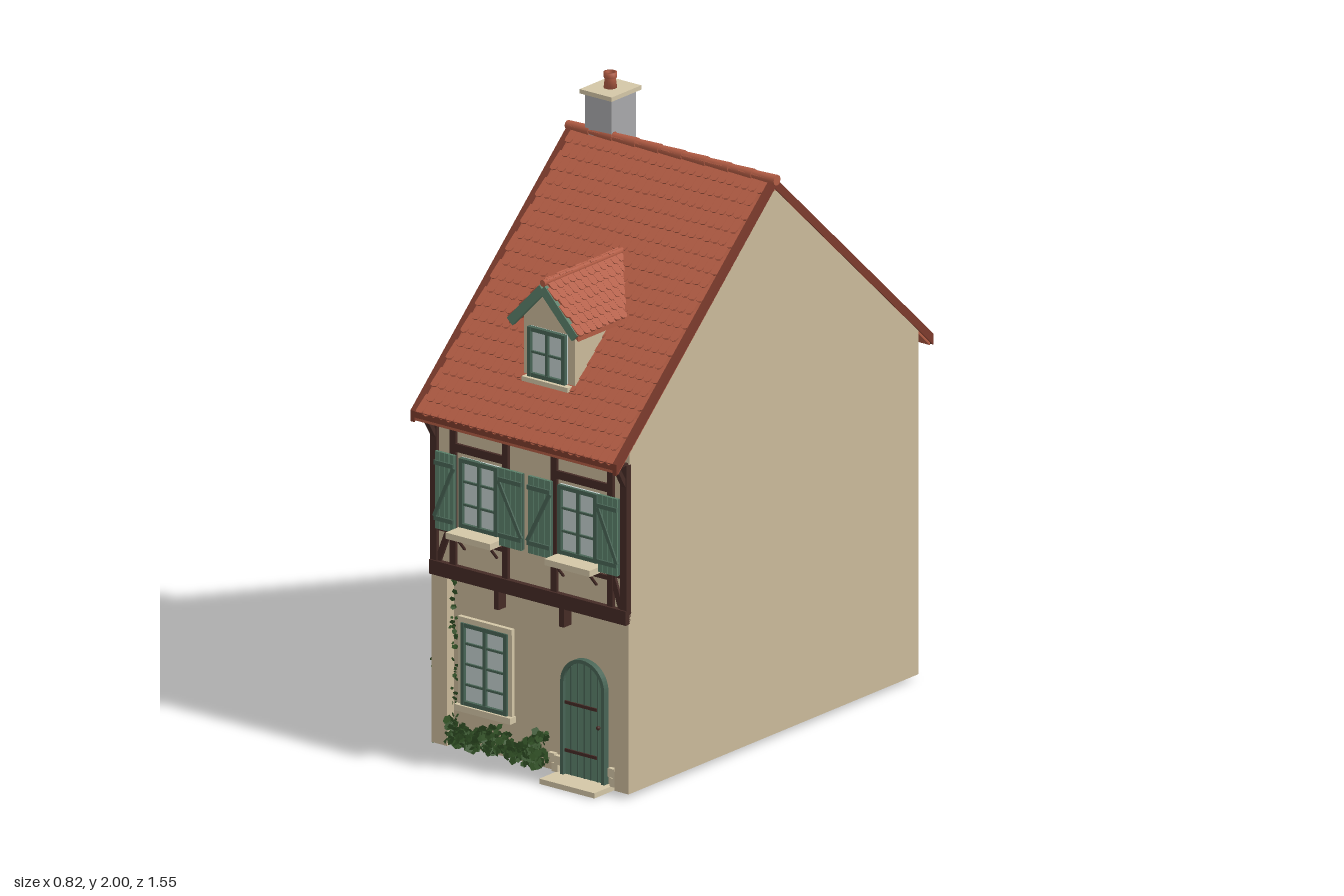
import * as THREE from 'three';
import { mergeGeometries } from 'three/addons/utils/BufferGeometryUtils.js';

const mat = (name, color, extra = {}) => {
  const m = new THREE.MeshStandardMaterial({ color, ...extra });
  m.name = name;
  return m;
};
const M = {
  wall: mat('plaster', 0xcab99a), trim: mat('stone trim', 0xd3c6a6),
  roof: mat('terracotta', 0xb25c44), verge: mat('dark terracotta', 0x7c3b2c),
  timber: mat('dark timber', 0x452b26), green: mat('shutter green', 0x5b806a),
  frame: mat('frame green', 0x486455), glass: mat('glass', 0xc3cfcd),
  leaf: mat('leaves', 0x345528, { side: THREE.DoubleSide }), grey: mat('chimney grey', 0xa8a8aa),
};

let seed = 7;
const rnd = () => (seed = (seed * 16807) % 2147483647) / 2147483647;

function add(parent, name, geometry, material, x = 0, y = 0, z = 0) {
  const mesh = new THREE.Mesh(geometry, material);
  mesh.name = name;
  mesh.position.set(x, y, z);
  parent.add(mesh);
  return mesh;
}
// box given by its limits
const block = (p, name, m, x0, x1, y0, y1, z0, z1) =>
  add(p, name, new THREE.BoxGeometry(x1 - x0, y1 - y0, z1 - z0), m, (x0 + x1) / 2, (y0 + y1) / 2, (z0 + z1) / 2);
// bar between two points in a front-facing plane
function bar(p, name, m, x0, y0, x1, y1, w, z, d) {
  const b = add(p, name, new THREE.BoxGeometry(Math.hypot(x1 - x0, y1 - y0), w, d), m, (x0 + x1) / 2, (y0 + y1) / 2, z);
  b.rotation.z = Math.atan2(y1 - y0, x1 - x0);
}
const poly = pts => new THREE.Shape(pts.map(p => new THREE.Vector2(...p)));
const extrude = (shape, depth) => new THREE.ExtrudeGeometry(shape, { depth, bevelEnabled: false, curveSegments: 12 });
// profile in (z, y), symmetric in z, extruded along x
const alongX = (pts, x0, x1) => extrude(poly(pts), x1 - x0).rotateY(Math.PI / 2).translate(x0, 0, 0);
const chevron = (run, top, low, t) => [[-run, low], [-run, low - t], [0, top - t], [run, low - t], [run, low], [0, top]];

// rows of round-ended tiles lying on a slope that falls towards local +z
function tiledSlope(p, name, width, run, rise, rows, cols, pos, turn) {
  const len = Math.hypot(run, rise), rh = len / rows, tw = width / cols, w = tw * 0.485, h = rh * 1.45;
  const s = new THREE.Shape();
  s.moveTo(-w, h); s.lineTo(-w, h * 0.22);
  s.quadraticCurveTo(-w, 0, 0, 0); s.quadraticCurveTo(w, 0, w, h * 0.22); s.lineTo(w, h);
  const tile = new THREE.ExtrudeGeometry(s, { depth: 0.006, bevelEnabled: false, curveSegments: 2 });
  tile.translate(0, -h, 0).rotateX(-0.09).translate(0, h, 0);
  const all = [];
  for (let r = 0; r < rows; r++) {
    const odd = r % 2;
    for (let c = 0; c < cols - odd; c++)
      all.push(tile.clone().translate(-width / 2 + (c + 0.5 + odd / 2) * tw, -len + r * rh - rnd() * 0.004, 0));
  }
  const g = new THREE.Group();
  g.name = name;
  g.position.set(...pos);
  g.rotation.y = turn;
  add(g, name + 'Tiles', mergeGeometries(all), M.roof).rotation.x = -Math.atan2(run, rise);
  p.add(g);
}

// glazed window with glazing bars, origin at its centre on the wall plane
function makeWindow(p, name, x0, x1, y0, y1, z, cols, rows) {
  const f = 0.013, w = x1 - x0, h = y1 - y0;
  const g = new THREE.Group();
  g.name = name;
  p.add(g);
  block(g, 'glass', M.glass, x0, x1, y0, y1, z - 0.01, z + 0.004);
  for (const x of [x0, x1 - f]) block(g, 'frameSide', M.frame, x, x + f, y0, y1, z, z + 0.016);
  for (const y of [y0, y1 - f]) block(g, 'frameRail', M.frame, x0, x1, y, y + f, z, z + 0.015);
  for (let i = 1; i < cols; i++) bar(g, 'mullion', M.frame, x0 + w * i / cols, y0, x0 + w * i / cols, y1, 0.011, z + 0.006, 0.014);
  for (let i = 1; i < rows; i++) bar(g, 'glazingBar', M.frame, x0, y0 + h * i / rows, x1, y0 + h * i / rows, 0.007, z + 0.005, 0.012);
}

function makeShutter(p, x0, x1, flip) {
  const y0 = 0.725, y1 = 0.975, z = 0.722, g = new THREE.Group(), n = 4, w = (x1 - x0) / n;
  g.name = 'shutter';
  p.add(g);
  for (let i = 0; i < n; i++) block(g, 'plank', M.green, x0 + i * w + 0.001, x0 + (i + 1) * w - 0.001, y0, y1, z, z + 0.01);
  block(g, 'backing', M.frame, x0, x1, y0 + 0.002, y1 - 0.002, z - 0.004, z + 0.006);
  for (const y of [y0 + 0.035, y1 - 0.035]) bar(g, 'batten', M.frame, x0, y, x1, y, 0.014, z + 0.012, 0.008);
  const [a, b] = flip ? [x1, x0] : [x0, x1];
  bar(g, 'diagonalBatten', M.frame, a, y0 + 0.04, b, y1 - 0.04, 0.012, z + 0.012, 0.007);
}

// scatter of small leaves; place() returns a position, yaw turns them to face outwards
function leaves(p, name, count, size, yaw, place) {
  const all = [];
  for (let i = 0; i < count; i++) {
    const r = size * (0.6 + rnd() * 0.7);
    all.push(new THREE.CircleGeometry(r, 5).rotateZ(rnd() * 6).rotateX((rnd() - 0.5) * 1.6)
      .rotateY(yaw + (rnd() - 0.5) * 1.6).translate(...place()));
  }
  add(p, name, mergeGeometries(all), M.leaf);
}

function archShape(cx, half, y0, spring) {
  const s = new THREE.Shape();
  s.moveTo(cx - half, y0); s.lineTo(cx + half, y0); s.lineTo(cx + half, spring);
  s.absarc(cx, spring, half, 0, Math.PI, false);
  s.closePath();
  return s;
}

export function createModel() {
  const house = new THREE.Group();
  house.name = 'townhouse';
  const L = -0.37, R = 0.4;

  // hollow body, recessed ground floor front, gable
  const plan = poly([[L, -0.675], [R, -0.675], [R, 0.705], [L, 0.705]]);
  plan.holes.push(poly([[-0.32, -0.24], [-0.32, 0.62], [0.335, 0.62], [0.335, -0.24]]));
  add(house, 'walls', extrude(plan, 1.08).rotateX(-Math.PI / 2), M.wall, 0, 0.02, 0);
  add(house, 'gable', alongX([[-0.705, 1.1], [0.705, 1.1], [0.705, 1.13], [0, 1.785], [-0.705, 1.13]], L, R), M.wall);
  block(house, 'upperFront', M.wall, L, R, 0.57, 1.1, 0.675, 0.705);
  block(house, 'leftPilaster', M.wall, 0.345, R, 0.02, 0.57, 0.675, 0.709);
  block(house, 'rightPilaster', M.wall, L, -0.31, 0.02, 0.57, 0.675, 0.709);

  // main roof
  add(house, 'roofSlab', alongX(chevron(0.76, 1.803, 1.094, 0.025), -0.395, 0.4), M.roof);
  for (const x of [-0.402, 0.388]) add(house, 'verge', alongX(chevron(0.772, 1.822, 1.104, 0.036), x, x + 0.016), M.verge);
  for (const turn of [0, Math.PI])
    tiledSlope(house, 'roofSlope', 0.776, 0.765, 0.713, 21, 26, [0, 1.804, 0], turn);
  for (let i = 0; i < 9; i++) {
    const c = add(house, 'ridgeTile', new THREE.CylinderGeometry(0.014, 0.017, 0.092, 10), M.roof, -0.362 + i * 0.091, 1.814, 0);
    c.rotation.z = Math.PI / 2;
  }
  block(house, 'fascia', M.verge, -0.395, 0.402, 1.083, 1.103, 0.757, 0.772);
  block(house, 'soffit', M.timber, -0.385, 0.395, 1.083, 1.09, 0.7, 0.76);

  // chimney
  block(house, 'chimney', M.grey, -0.33, -0.225, 1.7, 1.938, -0.105, 0.012);
  block(house, 'chimneyCap', M.trim, -0.34, -0.215, 1.936, 1.95, -0.12, 0.025);
  const pot = [[0, 0], [0.021, 0], [0.017, 0.03], [0.021, 0.034], [0.021, 0.05], [0.013, 0.05], [0.012, 0.01]];
  add(house, 'chimneyPot', new THREE.LatheGeometry(pot.map(q => new THREE.Vector2(...q)), 16), M.roof, -0.278, 1.95, -0.047);

  // dormer
  const dormer = new THREE.Group(), cx = 0.012;
  dormer.name = 'dormer';
  house.add(dormer);
  add(dormer, 'dormerWalls', extrude(poly([[cx - 0.1, 1.235], [cx + 0.1, 1.235], [cx + 0.1, 1.435], [cx, 1.54], [cx - 0.1, 1.435]]), 0.36), M.wall, 0, 0, 0.25);
  add(dormer, 'dormerRoof', extrude(poly(chevron(0.135, 1.566, 1.425, 0.016).map(([x, y]) => [x + cx, y])), 0.39), M.roof, 0, 0, 0.25);
  for (const s of [1, -1]) {
    tiledSlope(dormer, 'dormerSlope', 0.39, 0.136, 0.143, 6, 13, [cx, 1.568, 0.45], s * Math.PI / 2);
    bar(dormer, 'dormerBargeboard', M.green, cx, 1.553, cx + s * 0.127, 1.42, 0.03, 0.641, 0.014);
  }
  const dr = add(dormer, 'dormerRidge', new THREE.CylinderGeometry(0.011, 0.011, 0.39, 10), M.roof, cx, 1.57, 0.45);
  dr.rotation.x = Math.PI / 2;
  makeWindow(dormer, 'dormerWindow', cx - 0.075, cx + 0.072, 1.25, 1.41, 0.612, 2, 2);
  block(dormer, 'dormerSill', M.trim, cx - 0.09, cx + 0.09, 1.233, 1.248, 0.6, 0.635);
  block(dormer, 'dormerFlashing', M.roof, cx - 0.115, cx + 0.115, 1.222, 1.233, 0.59, 0.628);

  // timber framing
  const T = (...a) => bar(house, 'timberBeam', M.timber, ...a);
  T(L, 0.592, R, 0.592, 0.046, 0.708, 0.03);
  T(L, 1.07, R, 1.07, 0.03, 0.708, 0.024);
  for (const x of [-0.357, 0.387]) T(x, 0.6, x, 1.08, 0.026, 0.707, 0.022);
  for (const x of [-0.283, -0.078, 0.112, 0.332]) T(x, 0.6, x, 1.08, 0.022, 0.706, 0.02);
  for (const [a, b] of [[-0.283, -0.078], [0.112, 0.332]]) {
    T(a, 0.995, b, 0.995, 0.026, 0.706, 0.018);
    T(a, 0.705, b, 0.705, 0.014, 0.706, 0.016);
  }
  T(L, 0.72, -0.283, 0.72, 0.014, 0.706, 0.016);
  T(0.332, 0.72, R, 0.72, 0.014, 0.706, 0.016);
  T(-0.345, 0.61, -0.3, 0.725, 0.02, 0.706, 0.016);
  T(0.375, 0.61, 0.335, 0.725, 0.02, 0.706, 0.016);
  for (const x of [-0.115, 0.14]) block(house, 'corbel', M.timber, x - 0.009, x + 0.009, 0.505, 0.572, 0.67, 0.712);
  for (const x of [-0.357, 0.387]) {
    const b = block(house, 'eaveBracket', M.timber, x - 0.009, x + 0.009, 1.01, 1.1, 0.728, 0.742);
    b.rotation.x = 0.55;
  }

  // upper windows, shutters and sill shelves
  for (const [x0, x1] of [[-0.253, -0.103], [0.133, 0.286]]) {
    makeWindow(house, 'upperWindow', x0, x1, 0.745, 0.968, 0.708, 2, 3);
    block(house, 'sillShelf', M.trim, x0 - 0.012, x1 + 0.012, 0.718, 0.738, 0.7, 0.772);
    for (const x of [x0 + 0.012, x1 - 0.012]) {
      const b = block(house, 'shelfBracket', M.timber, x - 0.004, x + 0.004, 0.662, 0.738, 0.73, 0.736);
      b.rotation.x = 0.7;
    }
  }
  makeShutter(house, -0.34, -0.265, false);
  makeShutter(house, -0.09, 0.0, true);
  makeShutter(house, 0.024, 0.112, false);
  makeShutter(house, 0.298, 0.374, true);

  // ground floor window with stone surround
  makeWindow(house, 'groundWindow', -0.268, -0.088, 0.16, 0.425, 0.68, 2, 4);
  for (const x of [-0.283, -0.088]) block(house, 'windowJamb', M.trim, x, x + 0.015, 0.155, 0.44, 0.67, 0.688);
  block(house, 'windowLintel', M.trim, -0.283, -0.073, 0.425, 0.442, 0.67, 0.69);
  block(house, 'windowSill', M.trim, -0.288, -0.068, 0.14, 0.16, 0.67, 0.703);

  // arched door
  const dx = 0.208, ring = archShape(dx, 0.086, 0.02, 0.322);
  ring.holes.push(archShape(dx, 0.074, 0.02, 0.322));
  add(house, 'doorFrame', extrude(ring, 0.026), M.frame, 0, 0, 0.67);
  add(house, 'door', extrude(archShape(dx, 0.076, 0.02, 0.322), 0.014), M.green, 0, 0, 0.67);
  for (let i = -2; i <= 2; i++) {
    const x = dx + i * 0.026, top = 0.322 + Math.sqrt(0.074 ** 2 - (i * 0.026) ** 2);
    bar(house, 'plankJoint', M.frame, x, 0.02, x, top, 0.005, 0.684, 0.004);
  }
  for (const y of [0.1, 0.255]) bar(house, 'hinge', M.timber, dx - 0.074, y, dx + 0.05, y, 0.01, 0.686, 0.006);
  add(house, 'doorKnob', new THREE.SphereGeometry(0.007, 10, 8), M.timber, dx + 0.058, 0.2, 0.69);
  block(house, 'doorstep', M.trim, 0.1, 0.315, 0.005, 0.022, 0.66, 0.77);
  for (const [x, y] of [[0.082, 0.065], [0.105, 0.06], [0.315, 0.065], [0.335, 0.06], [0.095, 0.035], [0.322, 0.035]])
    block(house, 'baseStone', M.trim, x - 0.012, x + 0.012, y - 0.014, y + 0.014, 0.67, 0.69);

  // planting
  leaves(house, 'frontBush', 420, 0.012, 0, () => {
    const x = -0.31 + rnd() * 0.375;
    const h = x > 0.02 ? 0.11 : 0.075 + 0.02 * Math.sin(x * 35);
    return [x, 0.03 + rnd() * h, 0.685 + rnd() * 0.035];
  });
  leaves(house, 'wallClimber', 60, 0.008, 0, () => [-0.305 + rnd() * 0.018, 0.03 + rnd() ** 1.4 * 0.54, 0.682 + rnd() * 0.02]);
  leaves(house, 'sideIvy', 420, 0.011, -Math.PI / 2, () => {
    const y = 0.012 + rnd() * 0.78;
    const w = 0.05 + 0.16 * Math.exp(-(((y - 0.45) / 0.13) ** 2));
    return [-0.374 - rnd() * 0.016, y, 0.68 - w * rnd()];
  });
  return house;
}
